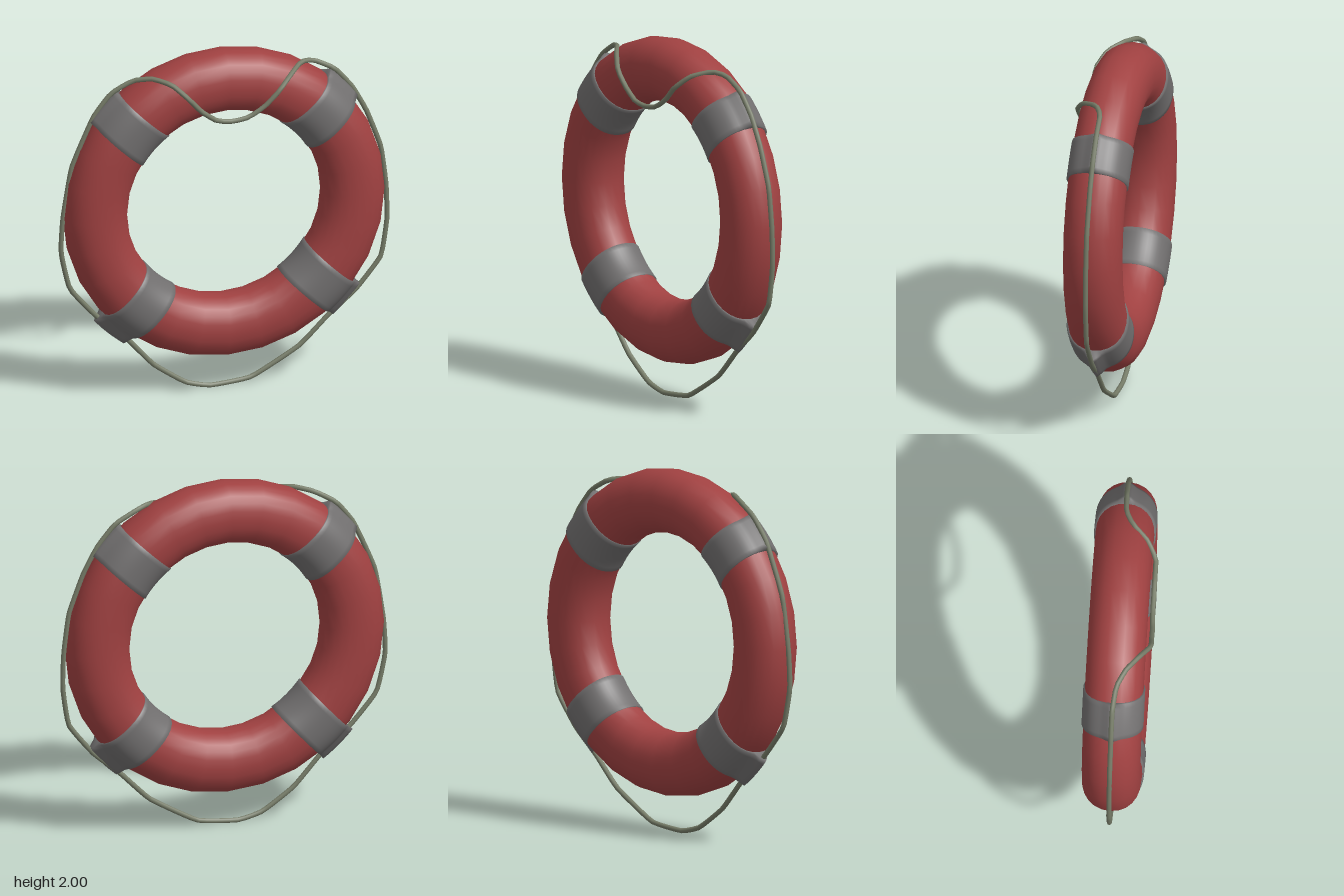
import * as THREE from 'three';

const CENTRE = new THREE.Vector3(-0.005, 1.105, -0.015);
const MID = 0.725, RADIAL = 0.175, DEPTH = 0.16;

// Slightly squared oval section of the ring: [radius, z] at angle t
function section(t, lift = 0) {
  const soft = (c) => Math.sign(c) * Math.abs(c) ** 0.93;
  return [MID + (RADIAL + lift) * soft(Math.cos(t)), (DEPTH + lift) * soft(Math.sin(t))];
}

// Smooth surface swept through cross-sections; each section is a closed loop
function sweep(rows, cols, closed, point) {
  const pos = [], idx = [];
  const count = closed ? rows : rows + 1;
  for (let i = 0; i < count; i++)
    for (let j = 0; j < cols; j++) pos.push(...point(i / rows, (j / cols) * Math.PI * 2));
  for (let i = 0; i < rows; i++)
    for (let j = 0; j < cols; j++) {
      const n = ((i + 1) % count) * cols, m = i * cols, k = (j + 1) % cols;
      idx.push(m + j, n + j, n + k, m + j, n + k, m + k);
    }
  const g = new THREE.BufferGeometry();
  g.setAttribute('position', new THREE.Float32BufferAttribute(pos, 3));
  g.setIndex(idx);
  g.computeVertexNormals();
  return g;
}

export function createModel() {
  const red = new THREE.MeshStandardMaterial({ color: 0xa04141 });
  red.name = 'red float';
  const grey = new THREE.MeshStandardMaterial({ color: 0x716f6f, side: THREE.DoubleSide });
  grey.name = 'grey band';
  const green = new THREE.MeshStandardMaterial({ color: 0x767c68 });
  green.name = 'grey green rope';

  const group = new THREE.Group();
  group.name = 'lifebuoy';
  const add = (name, geometry, material) => {
    const mesh = new THREE.Mesh(geometry, material);
    mesh.name = name;
    group.add(mesh);
    return mesh;
  };

  // Float ring
  add('ring', sweep(28, 24, true, (u, t) => {
    const [r, z] = section(t), a = u * Math.PI * 2;
    return [r * Math.cos(a), r * Math.sin(a), z];
  }), red).position.copy(CENTRE);

  // Four straight-edged bands, bulging where they hold the rope
  const bands = [
    ['upperLeftBand', 43, 0.03], ['upperRightBand', 137, 0.03],
    ['lowerRightBand', 227.5, 0.055], ['lowerLeftBand', -43.5, 0.055],
  ];
  for (const [name, degrees, bulge] of bands) {
    const geometry = sweep(10, 48, false, (u, t) => {
      const end = u === 0 || u === 1;
      let [r, z] = section(t, end ? -0.006 : 0.009);
      const side = (Math.min(1, Math.max(0, u * 1.25 - 0.125)) - 0.5) * 0.215;
      const a = THREE.MathUtils.degToRad(degrees) + Math.asin(side / r);
      if (!end && Math.cos(t) > 0) r += bulge * Math.exp(-((z / 0.035) ** 2));
      return [r * Math.cos(a), r * Math.sin(a), z];
    });
    add(name, geometry, grey).position.copy(CENTRE);
  }

  // Grab rope: hangs below, follows the rim and drapes over the front at the top
  const Z = -0.015;
  const path = [
    [-0.08, 0.02], [0.15, 0.045], [0.42, 0.2], [0.59, 0.37], [0.74, 0.5], [0.88, 0.68],
    [0.915, 0.9], [0.91, 1.1], [0.88, 1.33], [0.8, 1.55], [0.72, 1.7], [0.62, 1.82],
    [0.5, 1.885, -0.01], [0.42, 1.9, 0.03], [0.34, 1.87, 0.115], [0.26, 1.8, 0.165],
    [0.18, 1.72, 0.165], [0.09, 1.665, 0.165], [0, 1.65, 0.165], [-0.09, 1.665, 0.17],
    [-0.18, 1.73, 0.17], [-0.25, 1.81, 0.17], [-0.33, 1.88, 0.12], [-0.42, 1.9, 0.05],
    [-0.52, 1.88, 0], [-0.64, 1.81], [-0.74, 1.68], [-0.86, 1.4], [-0.91, 1.1], [-0.92, 0.9],
    [-0.87, 0.68], [-0.72, 0.5], [-0.56, 0.36], [-0.4, 0.18], [-0.22, 0.055],
  ].map(([x, y, z = Z]) => new THREE.Vector3(x, y, z));
  const curve = new THREE.CatmullRomCurve3(path, true, 'catmullrom', 0.2);
  add('rope', new THREE.TubeGeometry(curve, 140, 0.014, 8, true), green);

  return group;
}
